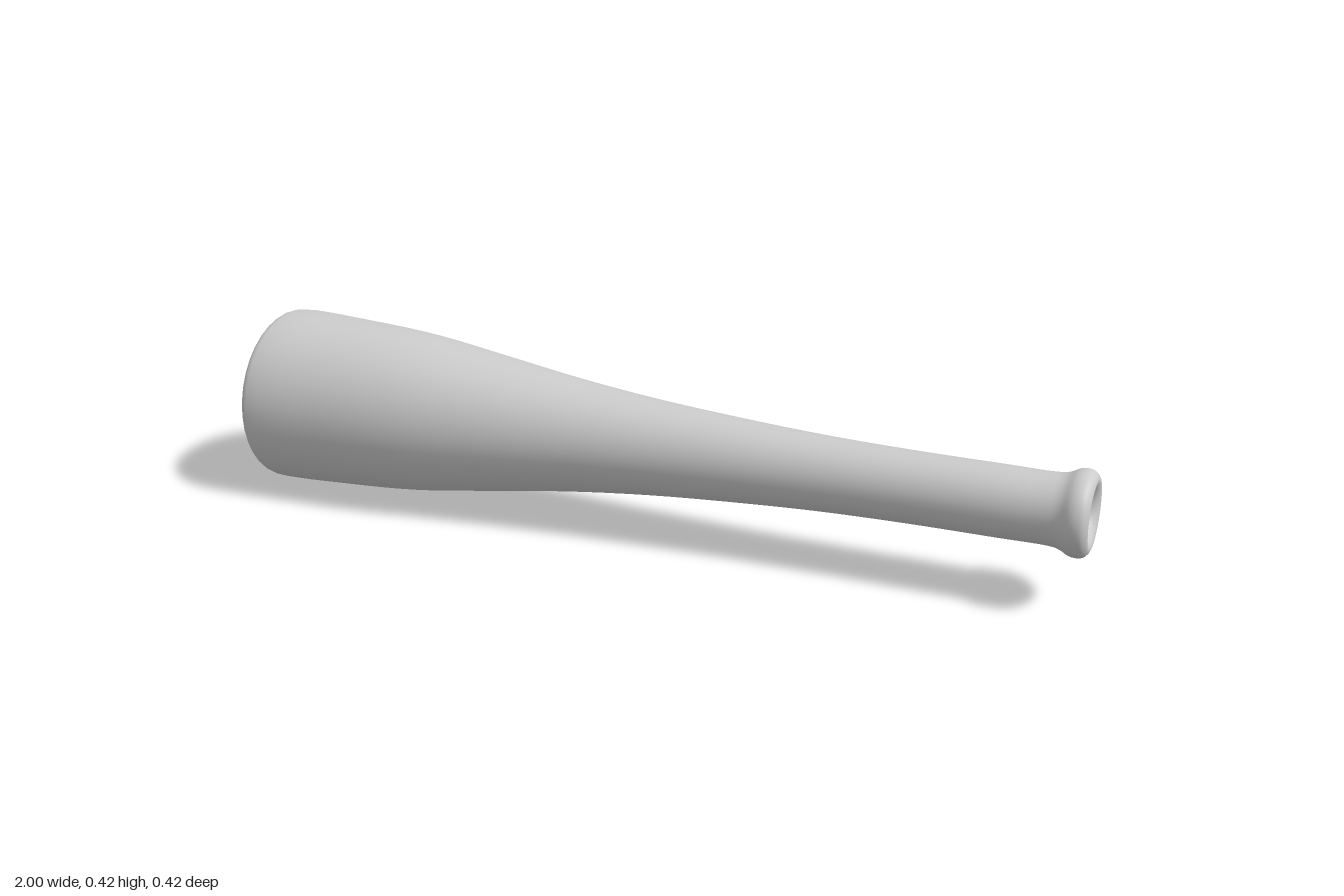
import * as THREE from 'three';

// Closed wall section as [position along x, radius]
const outerWall = [
  [-1, 0.193], [-0.995, 0.203], [-0.98, 0.209], [-0.8, 0.204], [-0.6, 0.19], [-0.4, 0.162],
  [-0.2, 0.133], [0, 0.111], [0.2, 0.096], [0.4, 0.085], [0.6, 0.08], [0.8, 0.079], [0.92, 0.079],
];
const flaredLip = [
  [0.94, 0.083], [0.96, 0.093], [0.975, 0.095], [0.99, 0.091], [1, 0.077], [0.997, 0.063], [0.985, 0.05], [0.96, 0.042],
];
const bore = [
  [0.9, 0.041], [0.6, 0.042], [0.4, 0.047], [0.2, 0.058], [0, 0.073], [-0.2, 0.095],
  [-0.4, 0.124], [-0.6, 0.152], [-0.8, 0.166], [-0.97, 0.172], [-0.992, 0.176], [-1, 0.184],
];

export function createModel() {
  const group = new THREE.Group();
  group.name = 'hollowTaperedTube';

  // Start the loop inside the bore, so the shading seam stays hidden
  const loop = [...bore.slice(4), ...outerWall, ...flaredLip, ...bore.slice(0, 4)];
  const curve = new THREE.CatmullRomCurve3(
    loop.map(([x, r]) => new THREE.Vector3(r, x, 0)), true, 'centripetal');
  const profile = curve.getPoints(loop.length * 4).map((p) => new THREE.Vector2(p.x, p.y));

  // Revolve the section and lay it along x
  const geometry = new THREE.LatheGeometry(profile, 36);
  geometry.rotateZ(-Math.PI / 2);

  // The narrow end sits very slightly off the axis
  const pos = geometry.attributes.position;
  for (let i = 0; i < pos.count; i++) {
    const t = (pos.getX(i) + 1) / 2;
    pos.setY(i, pos.getY(i) + 0.209 + 0.003 * t);
    pos.setZ(i, pos.getZ(i) + 0.004 * t);
  }

  const tube = new THREE.Mesh(geometry, new THREE.MeshStandardMaterial({ color: 0xcccccc }));
  tube.name = 'tubeWall';
  group.add(tube);
  return group;
}
